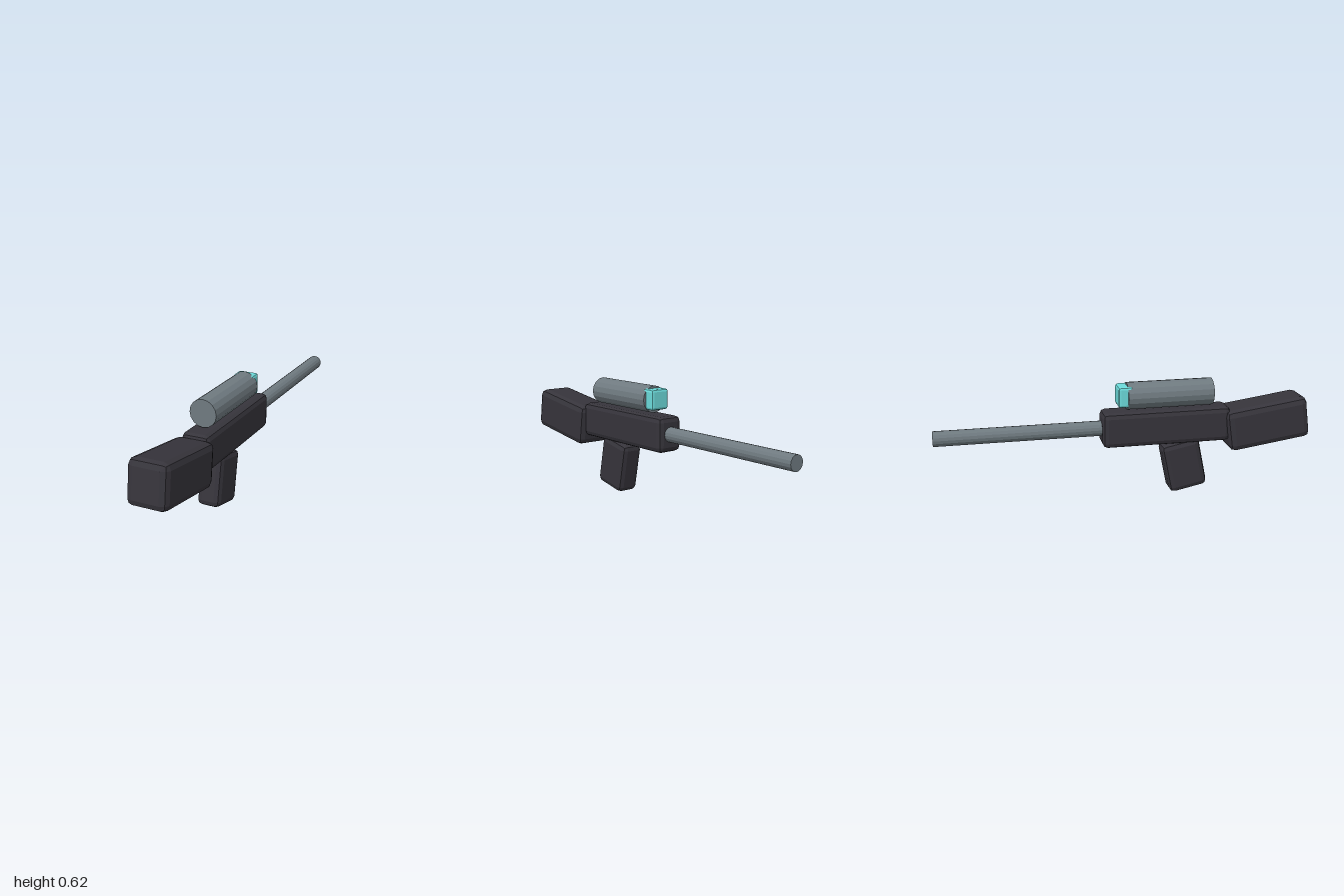
import * as THREE from 'three';
import { RoundedBoxGeometry } from 'three/addons/geometries/RoundedBoxGeometry.js';

const material = (name, color) => {
  const m = new THREE.MeshStandardMaterial({ color, flatShading: true });
  m.name = name;
  return m;
};

export function createModel() {
  const group = new THREE.Group();
  const dark = material('charcoal', 0x36343b);
  const steel = material('steel grey', 0x6f7a80);
  const cyan = material('cyan', 0x6cdada);

  const add = (name, geometry, mat, y, z, tilt = 0) => {
    const mesh = new THREE.Mesh(geometry, mat);
    mesh.name = name;
    mesh.position.set(0, y, z);
    mesh.rotation.x = tilt;
    group.add(mesh);
  };

  // Box with a single-step bevel
  const block = (name, mat, [w, h, d], bevel, y, z, tilt) =>
    add(name, new RoundedBoxGeometry(w, h, d, 1, bevel), mat, y, z, tilt);

  // Sixteen-sided tube lying along z
  const tube = (name, radius, y, z0, z1) => {
    const geometry = new THREE.CylinderGeometry(radius, radius, z1 - z0, 16);
    geometry.rotateX(Math.PI / 2);
    add(name, geometry, steel, y, (z0 + z1) / 2);
  };

  // Body, with tilted stock and grip
  block('receiver', dark, [0.148, 0.188, 0.69], 0.028, 0.374, 0.21);
  block('stock', dark, [0.21, 0.228, 0.453], 0.035, 0.364, 0.763, -0.14);
  block('grip', dark, [0.126, 0.275, 0.208], 0.029, 0.151, 0.31, -0.2);

  // Barrel and sight
  tube('barrel', 0.04, 0.376, -1, -0.05);
  tube('scope', 0.072, 0.545, 0, 0.46);
  block('scopeLens', cyan, [0.11, 0.11, 0.08], 0.014, 0.548, -0.011);

  return group;
}
